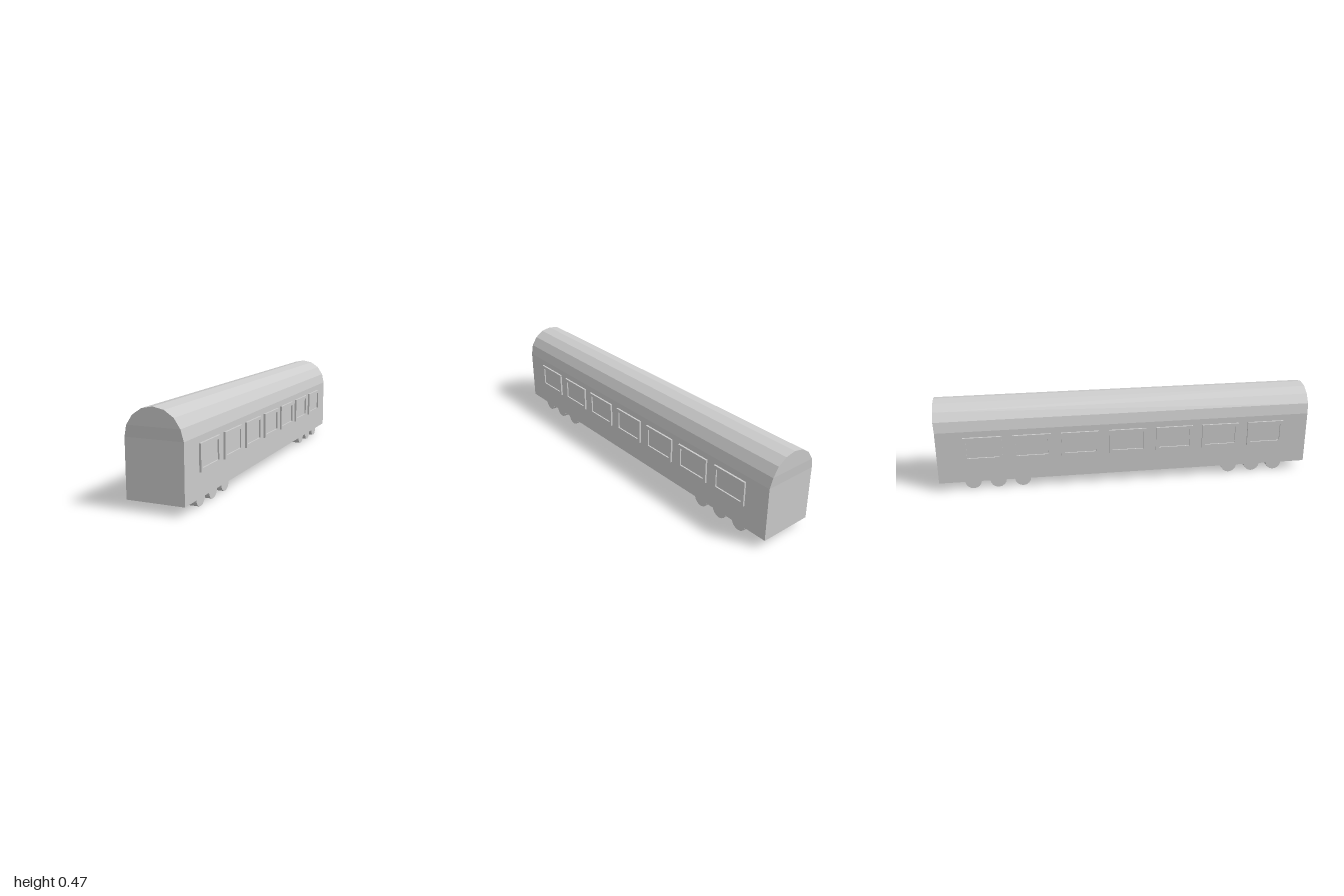
import * as THREE from 'three';
import { ConvexGeometry } from 'three/addons/geometries/ConvexGeometry.js';

const HALF_WIDTH = 0.143, FLOOR = 0.045, EAVES = 0.325, ROOF_RADIUS = 0.141;
const material = new THREE.MeshStandardMaterial({ color: 0xcccccc, flatShading: true });

function addMesh(parent, name, geometry, x = 0, y = 0, z = 0) {
  const mesh = new THREE.Mesh(geometry, material);
  mesh.name = name;
  mesh.position.set(x, y, z);
  parent.add(mesh);
  return mesh;
}

// Half-round roof in eight facets; its ends lean in slightly at the eaves
function roofGeometry() {
  const points = [];
  for (const side of [-1, 1]) {
    for (let i = 0; i <= 8; i++) {
      const a = (i / 8) * Math.PI;
      const atEaves = i === 0 || i === 8;
      const x = Math.cos(a) * (atEaves ? HALF_WIDTH : ROOF_RADIUS);
      points.push(new THREE.Vector3(x, EAVES + Math.sin(a) * ROOF_RADIUS, side * (atEaves ? 0.996 : 1)));
    }
  }
  return new ConvexGeometry(points);
}

// Rectangular frame with an opening, extruded outward along +z
function frameGeometry(w, h, border, depth) {
  const rect = (path, a, b) => path.moveTo(-a, -b).lineTo(a, -b).lineTo(a, b).lineTo(-a, b).closePath();
  const shape = rect(new THREE.Shape(), w / 2, h / 2);
  shape.holes.push(rect(new THREE.Path(), w / 2 - border, h / 2 - border));
  return new THREE.ExtrudeGeometry(shape, { depth, bevelEnabled: false });
}

export function createModel() {
  const model = new THREE.Group();
  model.name = 'railwayCarriage';

  // Carriage body and roof
  addMesh(model, 'body', new THREE.BoxGeometry(HALF_WIDTH * 2, EAVES - FLOOR, 1.992), 0, (EAVES + FLOOR) / 2, 0);
  addMesh(model, 'roof', roofGeometry());

  // Seven framed windows along each side
  const frame = frameGeometry(0.2, 0.13, 0.017, 0.0105);
  const pane = new THREE.BoxGeometry(0.166, 0.096, 0.004);
  for (const side of [-1, 1]) {
    for (let i = -3; i <= 3; i++) {
      const win = new THREE.Group();
      win.name = side > 0 ? 'leftWindow' : 'rightWindow';
      win.position.set(side * (HALF_WIDTH - 0.0005), 0.228, i * 0.253);
      win.rotation.y = side * Math.PI / 2;
      addMesh(win, 'windowFrame', frame);
      addMesh(win, 'windowPane', pane, 0, 0, 0.001);
      model.add(win);
    }
  }

  // Three full-width rollers under each end
  const wheel = new THREE.CylinderGeometry(0.043, 0.043, 0.264, 16).rotateZ(Math.PI / 2);
  for (const z of [0.827, 0.7, 0.569, -0.561, -0.69, -0.82]) {
    addMesh(model, 'wheelRoller', wheel, 0, 0.043, z);
  }
  return model;
}
